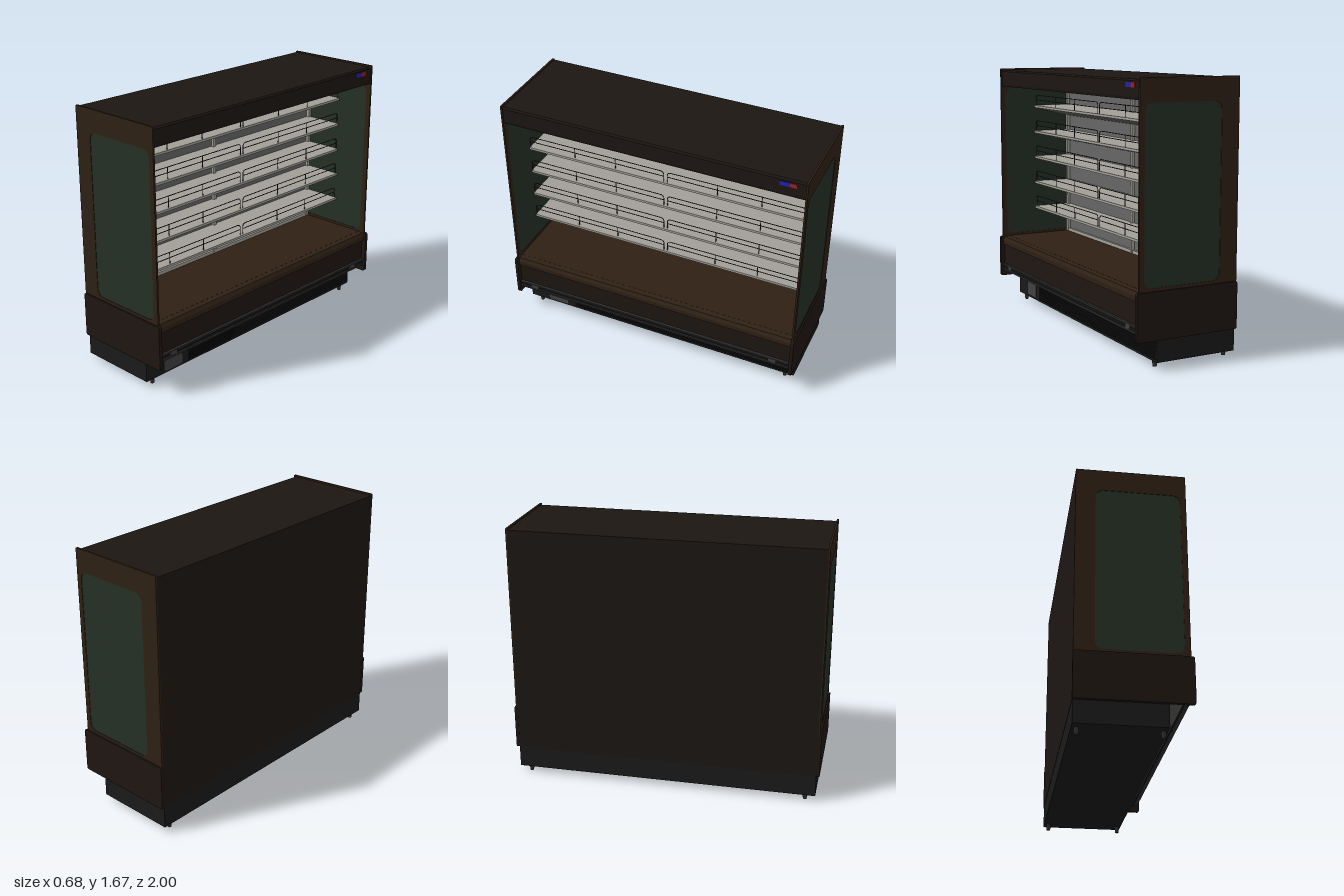
import * as THREE from 'three';

const mat = (color, side = THREE.FrontSide) => new THREE.MeshStandardMaterial({ color, side });
const M = {
  shell: mat(0x1c1613), brown: mat(0x2e2014), cap: mat(0x1e1612), black: mat(0x121212),
  base: mat(0x1a1a1a), metal: mat(0xa09e96), backing: mat(0x666666), under: mat(0x585856),
  glass: mat(0x243024, THREE.DoubleSide), wire: mat(0x2a2a2a), rail: mat(0x2e2e2e),
  plate: mat(0x404040), blue: mat(0x2222aa), red: mat(0x992222),
};

export function createModel() {
  const root = new THREE.Group();
  const add = (name, geo, m, parent = root) => {
    const mesh = new THREE.Mesh(geo, m);
    mesh.name = name;
    parent.add(mesh);
    return mesh;
  };
  // box given by its minimum and maximum limits
  const box = (name, m, x0, x1, y0, y1, z0, z1, parent) => {
    const b = add(name, new THREE.BoxGeometry(x1 - x0, y1 - y0, z1 - z0), m, parent);
    b.position.set((x0 + x1) / 2, (y0 + y1) / 2, (z0 + z1) / 2);
    return b;
  };
  // x-y outline stretched along z
  const prism = (name, m, pts, z0, z1, parent) => {
    const shape = new THREE.Shape(pts.map(p => new THREE.Vector2(...p)));
    const g = new THREE.ExtrudeGeometry(shape, { depth: z1 - z0, bevelEnabled: false });
    return add(name, g.translate(0, 0, z0), m, parent);
  };
  const rounded = (path, x0, x1, y0, y1, r) => {
    path.moveTo(x0 + r, y0);
    path.lineTo(x1 - r, y0).quadraticCurveTo(x1, y0, x1, y0 + r);
    path.lineTo(x1, y1 - r).quadraticCurveTo(x1, y1, x1 - r, y1);
    path.lineTo(x0 + r, y1).quadraticCurveTo(x0, y1, x0, y1 - r);
    path.lineTo(x0, y0 + r).quadraticCurveTo(x0, y0, x0 + r, y0);
    return path;
  };
  const slab = (shape, depth, z) =>
    new THREE.ExtrudeGeometry(shape, { depth, bevelEnabled: false, curveSegments: 8 }).translate(0, 0, z);

  // insulated back, roof and canopy
  box('backWall', M.shell, -0.34, -0.22, 0.18, 1.66, -0.98, 0.98);
  box('roof', M.shell, -0.22, 0.3, 1.57, 1.66, -0.98, 0.98);
  prism('canopyFascia', M.shell, [[0.28, 1.545], [0.31, 1.545], [0.315, 1.56], [0.315, 1.65], [0.305, 1.66], [0.28, 1.66]], -0.98, 0.98);
  box('airOutlet', M.metal, 0.13, 0.23, 1.555, 1.572, -0.97, 0.97);
  box('displayBlue', M.blue, 0.31, 0.318, 1.613, 1.64, -0.882, -0.82);
  box('displayRed', M.red, 0.31, 0.318, 1.613, 1.64, -0.922, -0.882);

  // inner back lining and uprights
  box('backLining', M.backing, -0.22, -0.205, 0.47, 1.57, -0.98, 0.98);
  box('liningFoot', M.metal, -0.205, -0.19, 0.465, 0.49, -0.97, 0.97);
  for (const z of [-0.962, 0, 0.962])
    box('upright', M.metal, -0.205, -0.185, 0.47, 1.57, z - 0.011, z + 0.011);

  // end panels with windows, and the lower end caps
  for (const s of [-1, 1]) {
    const end = new THREE.Group();
    end.name = s > 0 ? 'leftEnd' : 'rightEnd';
    root.add(end);
    const frame = rounded(new THREE.Shape(), -0.34, 0.322, 0.45, 1.67, 0.008);
    frame.holes.push(rounded(new THREE.Path(), -0.22, 0.288, 0.485, 1.53, 0.055));
    add('endFrame', slab(frame, 0.012, s * 0.984 - 0.006), M.brown, end);
    const pane = rounded(new THREE.Shape(), -0.222, 0.29, 0.483, 1.532, 0.055);
    add('window', slab(pane, 0.006, s * 0.984 - 0.003), M.glass, end);
    const cap = rounded(new THREE.Shape(), -0.342, 0.34, 0.178, 0.466, 0.015);
    add('endCap', slab(cap, 0.022, s * 0.989 - 0.011), M.cap, end);
  }

  // lower tub
  prism('tub', M.cap, [[-0.22, 0.2], [0.27, 0.2], [0.305, 0.235], [0.31, 0.27], [0.31, 0.41], [0.3, 0.462], [-0.22, 0.462]], -0.978, 0.978);
  box('deck', M.brown, -0.205, 0.275, 0.462, 0.468, -0.978, 0.978);
  prism('frontLedge', M.brown, [[0.27, 0.41], [0.322, 0.41], [0.322, 0.44], [0.308, 0.462], [0.27, 0.468]], -0.978, 0.978);
  box('tubUnderside', M.under, 0.2, 0.275, 0.193, 0.2, -0.978, 0.978);

  // bumper rail on brackets
  for (const y of [0.228, 0.262])
    box('bumperRail', M.rail, 0.3, 0.326, y - 0.006, y + 0.006, -0.978, 0.978);
  box('bumperCore', M.black, 0.29, 0.316, 0.228, 0.262, -0.978, 0.978);
  for (const z of [-0.86, 0.87])
    box('bumperBracket', M.plate, 0.3, 0.324, 0.222, 0.265, z - 0.027, z + 0.027);

  // base, grille and feet
  box('base', M.base, -0.338, 0.194, 0.04, 0.2, -0.98, 0.98);
  for (let i = 0; i < 9; i++) {
    const y = 0.06 + i * 0.016;
    box('grilleSlat', M.black, 0.192, 0.2, y - 0.004, y + 0.004, -0.965, 0.63);
  }
  const hatch = rounded(new THREE.Shape(), -0.075, 0.075, 0.055, 0.195, 0.012);
  const plate = add('accessPlate', slab(hatch, 0.006, 0), M.plate);
  plate.rotation.y = Math.PI / 2;
  plate.position.set(0.193, 0, 0.762);
  for (const x of [-0.308, 0.17])
    for (const z of [-0.913, 0.913]) {
      const foot = add('foot', new THREE.CylinderGeometry(0.016, 0.012, 0.042, 12), M.rail);
      foot.position.set(x, 0.021, z);
    }

  // shelves with sloping undersides and wire fences
  const V = (y, z) => new THREE.Vector3(0.055, y, z);
  const tube = (curve, n) => new THREE.TubeGeometry(curve, n, 0.0028, 5);
  for (let i = 0; i < 5; i++) {
    const y = 0.672 + i * 0.183;
    const shelf = new THREE.Group();
    shelf.name = 'shelf' + (i + 1);
    root.add(shelf);
    box('shelfTop', M.metal, -0.205, 0.07, y - 0.016, y, -0.97, 0.97, shelf);
    prism('shelfUnderside', M.under, [[-0.205, y - 0.08], [0.066, y - 0.016], [-0.205, y - 0.016]], -0.968, 0.968, shelf);
    for (const s of [-1, 1]) {
      const a = s * 0.012, b = s * 0.968, r = s * 0.025, top = y + 0.073;
      const path = new THREE.CurvePath();
      path.add(new THREE.LineCurve3(V(y, a), V(top - 0.025, a)));
      path.add(new THREE.QuadraticBezierCurve3(V(top - 0.025, a), V(top, a), V(top, a + r)));
      path.add(new THREE.LineCurve3(V(top, a + r), V(top, b - r)));
      path.add(new THREE.QuadraticBezierCurve3(V(top, b - r), V(top, b), V(top - 0.025, b)));
      path.add(new THREE.LineCurve3(V(top - 0.025, b), V(y, b)));
      add('fenceHoop', tube(path, 120), M.wire, shelf);
      add('fenceWire', tube(new THREE.LineCurve3(V(y + 0.038, a), V(y + 0.038, b)), 1), M.wire, shelf);
      for (const z of [0.35, 0.64])
        add('fencePost', tube(new THREE.LineCurve3(V(y, s * z), V(top, s * z)), 1), M.wire, shelf);
    }
  }
  return root;
}
